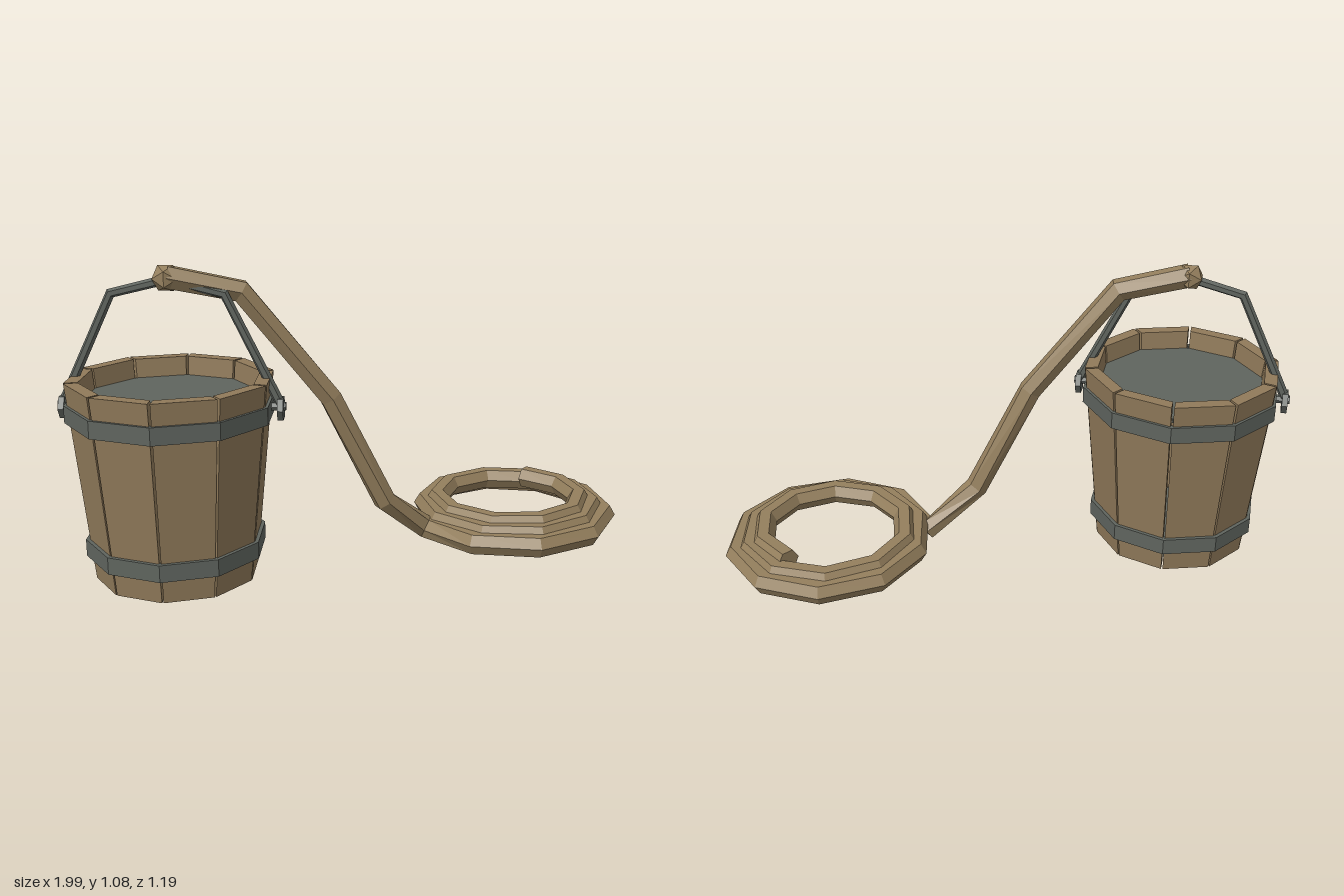
import * as THREE from 'three';

const wood = new THREE.MeshStandardMaterial({ color: 0x907a5a });
wood.name = 'wood';
const hemp = new THREE.MeshStandardMaterial({ color: 0x947f5d });
hemp.name = 'rope';
const iron = new THREE.MeshStandardMaterial({ color: 0x5f645e });
iron.name = 'iron';

// Faceted mesh: every face gets its own normal
function part(name, geometry, material) {
  const flat = geometry.index ? geometry.toNonIndexed() : geometry;
  flat.computeVertexNormals();
  const mesh = new THREE.Mesh(flat, material);
  mesh.name = name;
  return mesh;
}

// Six-sided bar following a polyline, with closed ends
function sweep(points, radius, up) {
  const n = 6, verts = [], index = [], last = points.length - 1;
  points.forEach((p, i) => {
    const dirIn = p.clone().sub(points[Math.max(i - 1, 0)]).normalize();
    const dirOut = points[Math.min(i + 1, last)].clone().sub(p).normalize();
    const t = dirIn.add(dirOut).normalize();
    const side = t.clone().cross(up).normalize();
    const norm = side.clone().cross(t);
    for (let k = 0; k < n; k++) {
      const a = (k / n) * Math.PI * 2;
      const v = p.clone()
        .addScaledVector(side, Math.cos(a) * radius)
        .addScaledVector(norm, Math.sin(a) * radius);
      verts.push(v.x, v.y, v.z);
      if (i < last) {
        const q = i * n + k, r = i * n + ((k + 1) % n);
        index.push(q, q + n, r, r, q + n, r + n);
      }
    }
  });
  for (let k = 1; k < n - 1; k++) {
    index.push(0, k, k + 1);
    index.push(last * n, last * n + k + 1, last * n + k);
  }
  const g = new THREE.BufferGeometry();
  g.setAttribute('position', new THREE.Float32BufferAttribute(verts, 3));
  g.setIndex(index);
  return g;
}

const SIDES = 10, HALF = Math.PI / SIDES, HEIGHT = 0.7, THICK = 0.045;
const bucketRadius = (y) => 0.285 + 0.07 * (y / HEIGHT);

// One tapered stave, with slim gaps to its neighbours
function staveGeometry() {
  const g = new THREE.BoxGeometry(1, 1, 1);
  const p = g.attributes.position;
  for (let i = 0; i < p.count; i++) {
    const y = (p.getY(i) + 0.5) * HEIGHT;
    const d = bucketRadius(y) * Math.cos(HALF) - (p.getZ(i) < 0 ? THICK : 0);
    const gap = 0.003 + 0.0015 * (y / HEIGHT);
    p.setXYZ(i, Math.sign(p.getX(i)) * (d * Math.tan(HALF) - gap), y, d);
  }
  return g;
}

function hoopGeometry(outer, inner, y0, y1) {
  const profile = [[outer, y0], [outer, y1], [inner, y1], [inner, y0], [outer, y0]];
  return new THREE.LatheGeometry(profile.map(([x, y]) => new THREE.Vector2(x, y)), SIDES);
}

function createBucket() {
  const bucket = new THREE.Group();
  bucket.name = 'bucket';
  for (let i = 0; i < SIDES; i++) {
    const stave = part('stave', staveGeometry(), wood);
    stave.rotation.y = Math.PI / 2 + i * HALF * 2;
    bucket.add(stave);
  }
  bucket.add(part('upperHoop', hoopGeometry(0.358, 0.335, 0.565, 0.625), iron));
  bucket.add(part('lowerHoop', hoopGeometry(0.313, 0.288, 0.085, 0.145), iron));

  // Thin discs closing the inside
  for (const [name, y] of [['bucketContents', 0.625], ['bucketBase', 0.035]]) {
    const r = bucketRadius(y) - THICK;
    const disc = part(name, new THREE.CylinderGeometry(r, r, 0.015, SIDES), iron);
    disc.position.y = y;
    bucket.add(disc);
  }

  // Bail handle and its pivots
  const bail = [[-0.375, 0.6], [-0.19, 0.983], [0, 1.03], [0.19, 0.983], [0.375, 0.6]]
    .map(([x, y]) => new THREE.Vector3(x, y, 0));
  bucket.add(part('handle', sweep(bail, 0.017, new THREE.Vector3(0, 0, 1)), iron));
  for (const s of [-1, 1]) {
    const bolt = part('handleBolt', new THREE.CylinderGeometry(0.043, 0.043, 0.02, 6), iron);
    bolt.rotation.z = Math.PI / 2;
    bolt.position.set(s * 0.372, 0.593, 0);
    const pin = part('handlePin', new THREE.CylinderGeometry(0.015, 0.015, 0.065, 6), iron);
    pin.rotation.z = Math.PI / 2;
    pin.position.set(s * 0.357, 0.6, 0);
    bucket.add(bolt, pin);
  }
  bucket.position.set(-0.608, 0, 0.255);
  return bucket;
}

function createRope() {
  const rope = new THREE.Group();
  rope.name = 'rope';
  // Slack run from the handle down to the ground
  const path = [
    [-0.61, 1.04, 0.255], [-0.37, 0.985, 0.205], [-0.075, 0.6, 0.13], [0.115, 0.2, 0.07],
  ].map((p) => new THREE.Vector3(...p));
  // Coil spiralling inward and upward
  const start = 152, total = 945, steps = 26;
  for (let i = 0; i <= steps; i++) {
    const f = i / steps;
    const a = THREE.MathUtils.degToRad(start - total * f);
    const r = 0.373 - 0.123 * f;
    path.push(new THREE.Vector3(0.598 + r * Math.cos(a), 0.06 + 0.062 * f, -0.207 + r * Math.sin(a)));
  }
  rope.add(part('ropeCoil', sweep(path, 0.042, new THREE.Vector3(0, 1, 0)), hemp));
  const knot = part('knot', new THREE.IcosahedronGeometry(0.05, 0), hemp);
  knot.position.set(-0.61, 1.035, 0.255);
  rope.add(knot);
  return rope;
}

export function createModel() {
  const model = new THREE.Group();
  model.name = 'bucketWithRope';
  model.add(createBucket(), createRope());
  return model;
}
